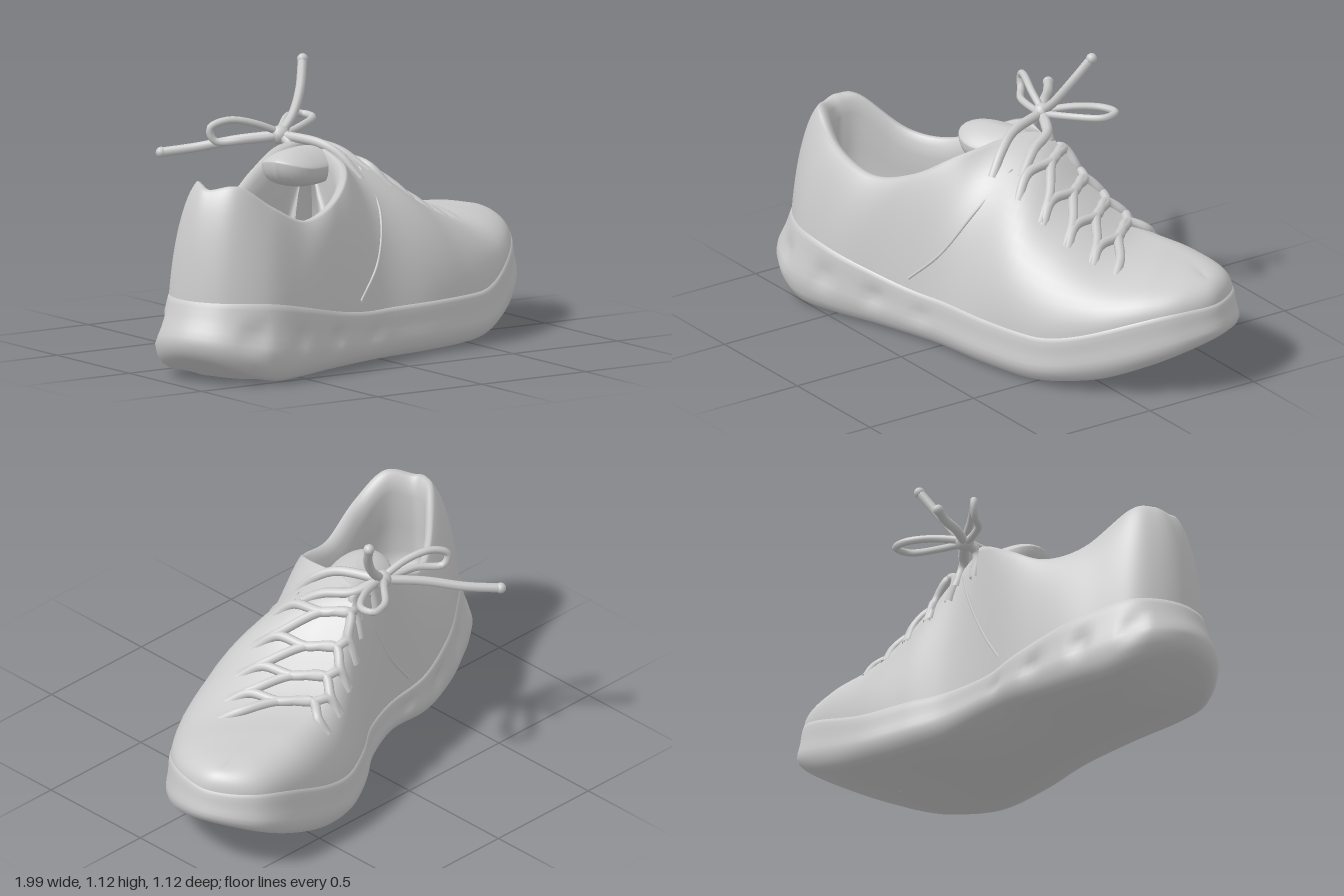
import * as THREE from 'three';
import { mergeVertices } from 'three/addons/utils/BufferGeometryUtils.js';

const clamp = THREE.MathUtils.clamp, lerp = THREE.MathUtils.lerp, step = THREE.MathUtils.smoothstep;
const V = (x, y, z) => new THREE.Vector3(x, y, z);
const TURN = 0.358; // the shoe points a little away from the x axis

// Stations around the shoe: sole edge (x, z), then collar or throat line (x, z, y).
// Heel first, along the outer side to the toe (11), then back along the inner side.
const STATIONS = [
  [-1.035, -0.01, -0.87, -0.01, 0.76], [-0.99, 0.15, -0.82, 0.1, 0.775],
  [-0.85, 0.275, -0.69, 0.175, 0.68], [-0.647, 0.308, -0.5, 0.2, 0.605],
  [-0.4, 0.307, -0.29, 0.2, 0.665], [-0.12, 0.328, -0.11, 0.11, 0.765],
  [0.15, 0.39, 0.06, -0.17, 0.795], [0.43, 0.417, 0.27, -0.185, 0.62],
  [0.668, 0.356, 0.48, -0.18, 0.49], [0.861, 0.268, 0.7, -0.13, 0.47],
  [0.988, 0.156, 0.85, -0.07, 0.46], [1.055, 0, 0.93, -0.03, 0.445],
  [0.985, -0.2, 0.85, -0.07, 0.46], [0.755, -0.31, 0.7, -0.13, 0.47],
  [0.5, -0.355, 0.48, -0.18, 0.49], [0.28, -0.33, 0.27, -0.185, 0.62],
  [0.1, -0.281, 0.06, -0.17, 0.795], [-0.11, -0.28, -0.07, -0.235, 0.8],
  [-0.32, -0.327, -0.24, -0.25, 0.72], [-0.55, -0.322, -0.42, -0.24, 0.63],
  [-0.72, -0.295, -0.6, -0.2, 0.64], [-0.9, -0.25, -0.78, -0.13, 0.765],
  [-1.0, -0.15, -0.85, -0.07, 0.775],
];
const N = STATIONS.length;

// Smooth closed curve through the stations
function station(u) {
  const i = Math.floor(u), t = u - i;
  const [a, b, c, d] = [-1, 0, 1, 2].map((k) => STATIONS[(i + k + N) % N]);
  return b.map((_, k) => 0.5 * (2 * b[k] + (c[k] - a[k]) * t
    + (2 * a[k] - 5 * b[k] + 4 * c[k] - d[k]) * t * t
    + (3 * b[k] - a[k] - 3 * c[k] + d[k]) * t * t * t));
}

// Underside with toe spring, heel bevel and raised arch
function bottomY(s, z) {
  const arch = z < -0.1 ? 0.05 * Math.exp(-(((s + 0.1) / 0.25) ** 2)) : 0;
  return 0.2 * Math.max(0, (s - 0.3) / 0.75) ** 2 + 0.08 * Math.max(0, (-0.75 - s) / 0.28) ** 2 + arch;
}
const soleTopY = (s) => 0.21 + 0.12 * step(-s, 0.15, 0.95) + 0.155 * step(s, 0.4, 1.05);
// How far the sole leans in at its top; most at the flared heel
const lean = (s) => 0.03 + 0.12 * step(-s, 0.5, 1) + 0.025 * step(s, 0.6, 1);

// Point on the sole edge, pulled towards the middle line by f
function edge(u, f, y) {
  const [s, z] = station(u);
  return V(lerp(s, clamp(s, -0.65, 0.65), f), y, lerp(z, 0, f));
}

// Point on the upper, v = 0 at the sole and 1 at the collar or throat line
function upperPoint(u, v) {
  const [s, , rs, rz, ry] = station(u);
  const foot = edge(u, lean(s) + 0.012, soleTopY(s) - 0.03);
  const round = 0.5 + 0.5 * step(s, -0.15, 0.3) + 0.15 * step(-s, 0.4, 0.9);
  const a = v * Math.PI / 2, p = 1 - 0.2 * step(s, 0.3, 0.8);
  const h = lerp(v, 1 - Math.max(0, Math.cos(a)) ** p, round), k = lerp(v, Math.sin(a) ** p, round);
  return V(lerp(foot.x, rs, h), lerp(foot.y, ry, k), lerp(foot.z, rz, h));
}

// Point on the lining; it stays shut along the throat
function liningPoint(u, f, drop, toFloor) {
  const [, , rs, rz, ry] = station(u);
  const w = u < 11 ? clamp(6 - u, 0, 1) : clamp(u - 16, 0, 1);
  const y = lerp(ry - drop * w, 0.32, toFloor * w);
  return V(lerp(rs, clamp(rs, -0.65, -0.2), f * w), y, lerp(rz, -0.05, f * w));
}

// Skin a list of rings, each a function of u
function loft(rings) {
  const per = 8, n = N * per, pos = [], index = [];
  for (const ring of rings)
    for (let i = 0; i < n; i++) pos.push(...ring(i / per).toArray());
  for (let j = 0; j < rings.length - 1; j++)
    for (let i = 0; i < n; i++) {
      const a = j * n + i, b = j * n + (i + 1) % n;
      index.push(a, b, b + n, a, b + n, a + n);
    }
  let g = new THREE.BufferGeometry();
  g.setAttribute('position', new THREE.Float32BufferAttribute(pos, 3));
  g.setIndex(index);
  g = mergeVertices(g, 1e-4);
  g.computeVertexNormals();
  return g;
}

export function createModel() {
  const model = new THREE.Group();
  model.name = 'runningShoe';
  const shoe = new THREE.Group();
  shoe.name = 'shoe';
  shoe.rotation.y = TURN;
  model.add(shoe);
  const mat = new THREE.MeshStandardMaterial({ color: 0xcccccc, side: THREE.DoubleSide });
  const add = (name, geometry, parent = shoe) => {
    const m = new THREE.Mesh(geometry, mat);
    m.name = name;
    parent.add(m);
    return m;
  };
  const cord = (name, points, r, parent = shoe, closed = false) =>
    add(name, new THREE.TubeGeometry(new THREE.CatmullRomCurve3(points, closed), 40, r, 8, closed), parent);
  const ball = (name, p, r, parent) => add(name, new THREE.SphereGeometry(r, 12, 8), parent).position.copy(p);

  // Sole: underside, rounded lower edge, sculpted side wall leaning in to the upper
  const underside = (f) => (u) => {
    const p = edge(u, f, 0);
    p.y = bottomY(p.x, 0);
    return p;
  };
  const soleRing = (f, k, dent = 0) => (u) => {
    const [s, z] = station(u);
    const notch = dent * Math.max(0, Math.sin(s * 26)) * step(-s, 0.05, 0.3);
    return edge(u, f + notch + lean(s) * step(k, 0.3, 1), lerp(bottomY(s, z), soleTopY(s), k));
  };
  add('sole', loft([
    underside(1), underside(0.5),
    soleRing(0.17, 0.01), soleRing(0.08, 0.07), soleRing(0.025, 0.19), soleRing(0, 0.33),
    soleRing(0, 0.44, 0.03), soleRing(0.005, 0.55, 0.05), soleRing(0.005, 0.67, 0.03),
    soleRing(0, 0.78), soleRing(0, 0.9), soleRing(0.012, 0.98), soleRing(0.06, 1),
  ]));

  // Upper, padded collar, lining and footbed in one skin
  const rings = [];
  for (let j = 0; j <= 16; j++) rings.push((u) => upperPoint(u, j / 16));
  for (const [f, drop, floor] of [[0.09, 0.005, 0], [0.18, 0.03, 0], [0.23, 0.08, 0], [0.2, 0.08, 0.4],
    [0.12, 0.08, 0.75], [0.2, 0.08, 0.97], [0.5, 0.08, 1], [1, 0.08, 1]])
    rings.push((u) => liningPoint(u, f, drop, floor));
  add('upper', loft(rings));

  // Tongue: a blunt pad bent across the instep, thick below where it closes the opening
  const tongue = new THREE.SphereGeometry(1, 28, 18);
  const tp = tongue.attributes.position;
  for (let i = 0; i < tp.count; i++) {
    const x = tp.getX(i), y = tp.getY(i), z = tp.getZ(i);
    const end = Math.sign(x) * Math.abs(x) ** 0.7;
    tp.setXYZ(i, end * 0.17 - 0.1, 0.79 + y * (y > 0 ? 0.02 : 0.13) - z * z * 0.05 - x * x * 0.02, z * 0.125 - 0.11);
  }
  tongue.computeVertexNormals();
  add('tongue', tongue);

  // Lacing: soft zigzag cords over the throat, sunk into both sides
  const lift = (u, v, h) => upperPoint(u, v).add(V(0, h, 0));
  const across = (a, b) => cord('lace', [lift(a, 0.6, -0.02), lift(a, 0.72, 0.006), lift((a + b) / 2, 0.88, 0.008),
    lift((a + b) / 2, 1, 0.008), lift(22 - b, 0.8, 0.004), lift(22 - b, 0.6, -0.02)], 0.02);
  for (let i = 0; i < 4; i++) {
    const u = 6.2 + i * 0.5;
    across(u, u + 0.45);
    across(u + 0.45, u);
  }
  // Low saddle seams on both sides
  for (const side of [(u) => u, (u) => 22 - u])
    cord('saddleSeam', [[5.9, 0.72], [5.5, 0.5], [5, 0.28], [4.5, 0.1]]
      .map(([u, v]) => upperPoint(side(u), v)), 0.006);

  // Bow: knot, two loops and two loose ends
  const bow = new THREE.Group();
  bow.name = 'bow';
  model.add(bow);
  const knot = V(-0.1, 0.83, -0.25);
  ball('knot', knot, 0.038, bow);
  cord('leftLoop', [knot, V(-0.2, 0.88, -0.27), V(-0.31, 0.9, -0.31), V(-0.375, 0.87, -0.34),
    V(-0.36, 0.82, -0.33), V(-0.27, 0.82, -0.27)], 0.015, bow, true);
  cord('rightLoop', [knot, V(-0.02, 0.86, -0.34), V(0.07, 0.865, -0.43), V(0.135, 0.865, -0.44),
    V(0.145, 0.86, -0.38), V(0.05, 0.85, -0.3)], 0.015, bow, true);
  for (const end of [
    [knot, V(-0.03, 0.9, -0.265), V(0.03, 0.99, -0.3), V(0.085, 1.1, -0.36)],
    [knot, V(-0.23, 0.81, -0.35), V(-0.36, 0.775, -0.46), V(-0.47, 0.755, -0.54)],
  ]) {
    cord('looseEnd', end, 0.019, bow);
    ball('laceTip', end[3], 0.022, bow);
  }
  // Strands from the knot over the instep to the top eyelets
  const tie = knot.clone().applyAxisAngle(V(0, 1, 0), -TURN);
  for (const u of [5.6, 6.1])
    cord('strand', [tie, lift(u, 1, 0.012), lift(u, 0.85, 0.008), lift(u, 0.7, -0.015)], 0.02);
  for (const u of [15.9, 16.6])
    cord('strand', [tie, lift(u, 0.9, 0.015), lift(u, 0.7, -0.015)], 0.02);

  return model;
}
